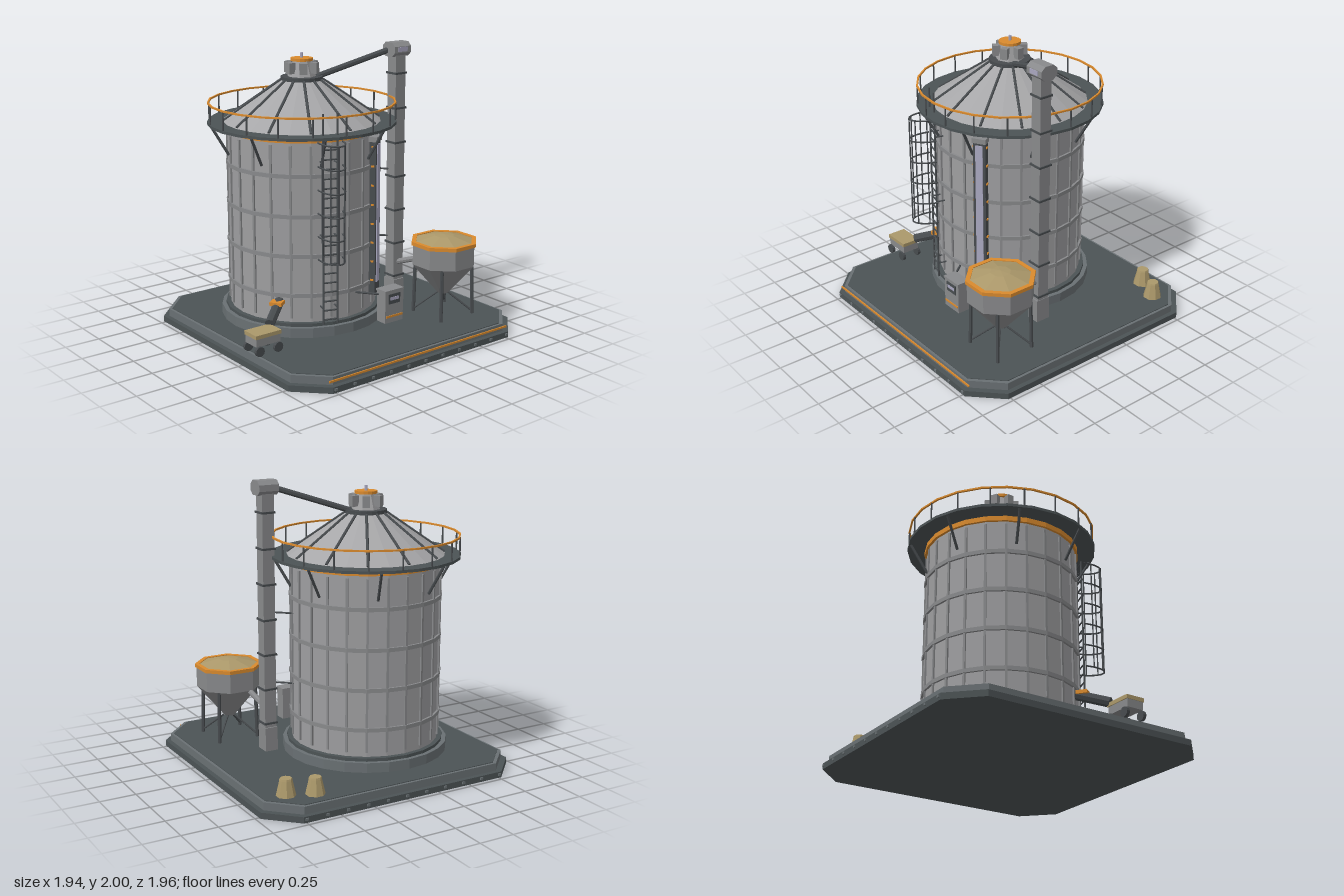
import * as THREE from 'three';

const mat = (name, color) => {
  const m = new THREE.MeshStandardMaterial({ color, flatShading: true });
  m.name = name;
  return m;
};

export function createModel() {
  const root = new THREE.Group();
  root.name = 'grainSilo';
  const steel = mat('steel', 0x9e9ea0), midSteel = mat('midSteel', 0x88898b), roofSteel = mat('roofSteel', 0xa6a6a8);
  const concrete = mat('concrete', 0x697073), deck = mat('deck', 0x4c5355), iron = mat('iron', 0x484c4f);
  const orange = mat('orange', 0xd98a2e), grain = mat('grain', 0xab986a), glass = mat('glass', 0xa9a7bf);
  glass.side = THREE.DoubleSide;

  const group = (name, x = 0, y = 0, z = 0, parent = root) => {
    const g = new THREE.Group();
    g.name = name;
    g.position.set(x, y, z);
    parent.add(g);
    return g;
  };
  const add = (p, name, geo, m, x = 0, y = 0, z = 0) => {
    const mesh = new THREE.Mesh(geo, m);
    mesh.name = name;
    mesh.position.set(x, y, z);
    p.add(mesh);
    return mesh;
  };
  const box = (p, name, m, w, h, d, x, y, z) => add(p, name, new THREE.BoxGeometry(w, h, d), m, x, y, z);
  const cyl = (p, name, m, rTop, rBottom, y0, y1, sides, x = 0, z = 0) =>
    add(p, name, new THREE.CylinderGeometry(rTop, rBottom, y1 - y0, sides), m, x, (y0 + y1) / 2, z);
  // round bar between two points
  const bar = (p, name, m, a, b, r = 0.008, sides = 6) => {
    const A = new THREE.Vector3(...a), B = new THREE.Vector3(...b), d = B.clone().sub(A);
    const mesh = add(p, name, new THREE.CylinderGeometry(r, r, d.length(), sides), m);
    mesh.position.copy(A).add(B).multiplyScalar(0.5);
    mesh.quaternion.setFromUnitVectors(new THREE.Vector3(0, 1, 0), d.normalize());
    return mesh;
  };
  // square-section ring around the y axis
  const ring = (p, name, m, rIn, rOut, y0, y1, sides = 24, start = 0) => {
    const pts = [[rIn, y0], [rOut, y0], [rOut, y1], [rIn, y1], [rIn, y0]].map(q => new THREE.Vector2(...q));
    return add(p, name, new THREE.LatheGeometry(pts, sides, start), m);
  };
  const polar = (r, a, y) => [r * Math.sin(a), y, r * Math.cos(a)];

  // chamfered base slabs
  const base = group('base');
  const slab = (name, m, h, c, y0, y1) => {
    const s = new THREE.Shape([[h - c, -h], [h, -h + c], [h, h - c], [h - c, h], [c - h, h], [-h, h - c], [-h, c - h], [c - h, -h]]
      .map(q => new THREE.Vector2(...q)));
    const g = new THREE.ExtrudeGeometry(s, { depth: y1 - y0, bevelEnabled: false }).rotateX(-Math.PI / 2);
    add(base, name, g, m, 0, y0, 0);
  };
  slab('lowerSlab', deck, 0.97, 0.2, 0, 0.042);
  slab('curb', concrete, 0.937, 0.19, 0.042, 0.095);
  slab('deckPlate', deck, 0.918, 0.185, 0.095, 0.1);
  box(base, 'safetyStripe', orange, 1.56, 0.013, 0.008, 0, 0.07, 0.941);
  for (let i = -5; i <= 5; i++) for (const s of [-1, 1])
    box(base, 'baseBolt', concrete, 0.02, 0.016, 0.01, i * 0.15, 0.025, s * 0.973);

  // silo body
  const silo = group('silo', -0.172, 0, -0.155);
  cyl(silo, 'lowerFooting', concrete, 0.58, 0.58, 0.1, 0.168, 24);
  cyl(silo, 'upperFooting', deck, 0.55, 0.55, 0.168, 0.19, 24);
  cyl(silo, 'wall', steel, 0.517, 0.517, 0.19, 1.48, 24);
  for (const y of [0.38, 0.655, 0.93, 1.205]) ring(silo, 'hoop', midSteel, 0.51, 0.532, y - 0.014, y + 0.014);
  for (let i = 0; i < 24; i++) {
    const a = i * Math.PI / 12;
    box(silo, 'wallRib', midSteel, 0.016, 1.19, 0.016, ...polar(0.519, a, 0.815)).rotation.y = a;
  }
  ring(silo, 'eaveBand', orange, 0.51, 0.535, 1.43, 1.464);

  // walkway, braces and railing
  const walkway = group('walkway', 0, 0, 0, silo);
  ring(walkway, 'walkwayDeck', deck, 0.51, 0.655, 1.468, 1.487);
  for (let i = 0; i < 8; i++) {
    const a = (i + 0.5) * Math.PI / 4;
    bar(walkway, 'brace', iron, polar(0.635, a, 1.468), polar(0.518, a, 1.265), 0.01);
  }
  for (let i = 0; i < 18; i++) {
    const a = i * Math.PI / 9 + Math.PI / 2;
    bar(walkway, 'railPost', iron, polar(0.645, a, 1.48), polar(0.645, a, 1.612), 0.006);
  }
  ring(walkway, 'handrail', orange, 0.64, 0.652, 1.61, 1.622);

  // roof and vent
  const roof = group('roof', 0, 0, 0, silo);
  cyl(roof, 'roofCone', roofSteel, 0.13, 0.545, 1.487, 1.772, 24);
  for (let i = 0; i < 12; i++) {
    const a = i * Math.PI / 6;
    bar(roof, 'roofRib', iron, polar(0.54, a, 1.493), polar(0.13, a, 1.775), 0.01);
  }
  cyl(roof, 'ventCollar', iron, 0.145, 0.145, 1.765, 1.79, 24);
  cyl(roof, 'ventNeck', steel, 0.06, 0.1, 1.79, 1.9, 8);
  for (let i = 0; i < 6; i++) {
    const a = i * Math.PI / 3 + Math.PI / 2;
    box(roof, 'ventLouver', midSteel, 0.05, 0.075, 0.05, ...polar(0.095, a, 1.85)).rotation.y = a;
  }
  cyl(roof, 'ventCap', orange, 0.078, 0.078, 1.896, 1.915, 16);
  cyl(roof, 'finial', glass, 0.01, 0.01, 1.915, 1.95, 8);

  // level gauge on the wall
  const gauge = group('levelGauge', ...polar(0.53, Math.PI / 6, 0), silo);
  gauge.rotation.y = Math.PI / 6;
  box(gauge, 'gaugeFrame', iron, 0.09, 1.09, 0.045, 0, 0.845, 0.01);
  box(gauge, 'gaugeGlass', glass, 0.052, 0.98, 0.008, 0, 0.87, 0.035);
  box(gauge, 'gaugeCap', midSteel, 0.1, 0.035, 0.06, 0, 1.395, 0.012);
  for (let i = 0; i < 8; i++) for (const s of [-1, 1])
    box(gauge, 'gaugeMark', orange, 0.01, 0.012, 0.02, s * 0.048, 0.4 + i * 0.135, 0.012);

  // caged ladder
  const ladderAngle = -0.307;
  const ladder = group('ladder', ...polar(0.572, ladderAngle, 0), silo);
  ladder.rotation.y = ladderAngle;
  for (const s of [-1, 1]) {
    bar(ladder, 'ladderRail', iron, [s * 0.05, 0.19, 0], [s * 0.05, 1.63, 0], 0.007);
    for (const y of [0.3, 0.8, 1.3]) bar(ladder, 'ladderBracket', iron, [s * 0.05, y, 0], [s * 0.05, y, -0.06], 0.006);
  }
  for (let i = 0; i < 20; i++) bar(ladder, 'rung', iron, [-0.05, 0.22 + i * 0.065, 0], [0.05, 0.22 + i * 0.065, 0], 0.006);
  const cagePoint = (t, y) => new THREE.Vector3(-0.085 * Math.cos(t), y, 0.165 * Math.sin(t));
  for (let i = 0; i < 6; i++) {
    const pts = Array.from({ length: 9 }, (_, k) => cagePoint(k * Math.PI / 8, 0.652 + i * 0.158));
    add(ladder, 'cageHoop', new THREE.TubeGeometry(new THREE.CatmullRomCurve3(pts), 12, 0.006, 5), iron);
  }
  for (const k of [1, 2.5, 4, 5.5, 7])
    bar(ladder, 'cageBar', iron, cagePoint(k * Math.PI / 8, 0.652).toArray(), cagePoint(k * Math.PI / 8, 1.442).toArray(), 0.005);

  // bucket elevator
  const elevator = group('elevator', 0.468, 0, 0.097);
  box(elevator, 'elevatorLeg', midSteel, 0.088, 1.82, 0.088, 0, 1.01, 0);
  for (let i = 0; i < 7; i++) box(elevator, 'legCollar', iron, 0.104, 0.014, 0.104, 0, 0.3 + i * 0.247, 0);
  box(elevator, 'elevatorBoot', midSteel, 0.094, 0.17, 0.108, 0, 0.185, 0);
  const headShape = new THREE.Shape([[-0.035, -0.05], [0.035, -0.05], [0.065, -0.022], [0.065, 0.022], [0.035, 0.05],
    [-0.035, 0.05], [-0.065, 0.022], [-0.065, -0.022]].map(q => new THREE.Vector2(...q)));
  const headGeo = new THREE.ExtrudeGeometry(headShape, { depth: 0.148, bevelEnabled: false }).translate(0, 0, -0.074).rotateY(Math.PI / 2);
  add(elevator, 'elevatorHead', headGeo, midSteel, 0, 1.95, 0);
  box(elevator, 'headPanel', glass, 0.08, 0.032, 0.006, 0, 1.952, 0.066);
  bar(root, 'roofSpout', midSteel, [0.42, 1.948, 0.08], [-0.075, 1.78, -0.115], 0.021, 8).material = iron;
  bar(root, 'hopperSpout', midSteel, [0.47, 0.395, 0.12], [0.5, 0.475, 0.34], 0.02, 8);
  for (const y of [0.59, 1.09]) bar(root, 'elevatorStay', iron, [0.44, y, 0.08], [0.32, y, -0.03], 0.007);

  // receiving hopper
  const hopper = group('hopper', 0.569, 0, 0.514);
  const e = Math.PI / 8, k = 1 / Math.cos(e);
  cyl(hopper, 'hopperBin', midSteel, 0.213 * k, 0.213 * k, 0.475, 0.62, 8).rotation.y = e;
  cyl(hopper, 'hopperCone', midSteel, 0.213 * k, 0.035 * k, 0.25, 0.475, 8).rotation.y = e;
  ring(hopper, 'hopperRim', orange, 0.193 * k, 0.223 * k, 0.617, 0.642, 8, e);
  const heap = [[0.196 * k, 0.618], [0.196 * k, 0.636], [0.07, 0.674], [0, 0.68]].map(q => new THREE.Vector2(...q));
  add(hopper, 'grainHeap', new THREE.LatheGeometry(heap, 8, e), grain);
  for (const sx of [-1, 1]) for (const sz of [-1, 1]) {
    bar(hopper, 'hopperLeg', iron, [sx * 0.15, 0.1, sz * 0.145], [sx * 0.142, 0.52, sz * 0.138], 0.013);
    bar(hopper, 'hopperStrut', iron, [sx * 0.148, 0.12, sz * 0.143], [0, 0.28, 0], 0.007);
  }

  // control cabinet
  const cabinet = group('controlCabinet', 0.074, 0, 0.515);
  box(cabinet, 'cabinetBody', midSteel, 0.158, 0.225, 0.088, 0, 0.268, 0);
  box(cabinet, 'cabinetTop', midSteel, 0.165, 0.014, 0.1, 0, 0.382, 0);
  box(cabinet, 'screenFrame', iron, 0.1, 0.07, 0.006, 0, 0.325, 0.046);
  box(cabinet, 'screen', glass, 0.075, 0.022, 0.004, 0, 0.328, 0.05);
  box(cabinet, 'cabinetStripe', orange, 0.145, 0.014, 0.006, 0, 0.2, 0.046);
  bar(root, 'conduit', iron, [-0.1, 0.35, 0.355], [0.01, 0.35, 0.5], 0.008);

  // discharge chute and cart
  bar(root, 'dischargeChute', iron, [-0.59, 0.335, 0.145], [-0.77, 0.255, 0.285], 0.034, 8);
  box(root, 'chuteGate', orange, 0.075, 0.024, 0.085, -0.632, 0.338, 0.175).rotation.y = 0.62;
  const cart = group('cart', -0.858, 0, 0.334);
  box(cart, 'cartBody', midSteel, 0.19, 0.055, 0.125, 0, 0.195, 0);
  box(cart, 'cartLoad', grain, 0.2, 0.026, 0.138, 0, 0.235, 0);
  for (const sx of [-1, 1]) for (const sz of [-1, 1]) {
    const w = add(cart, 'cartWheel', new THREE.CylinderGeometry(0.034, 0.034, 0.022, 12), iron, sx * 0.073, 0.136, sz * 0.066);
    w.rotation.x = Math.PI / 2;
  }

  // grain sacks
  for (const [x, z] of [[0.59, -0.795], [0.765, -0.725]]) {
    const sack = group('grainSack', x, 0, z);
    cyl(sack, 'sackBody', grain, 0.042, 0.066, 0.1, 0.205, 8).rotation.y = e;
    cyl(sack, 'sackTop', grain, 0.04, 0.044, 0.205, 0.217, 8).rotation.y = e;
  }
  return root;
}
